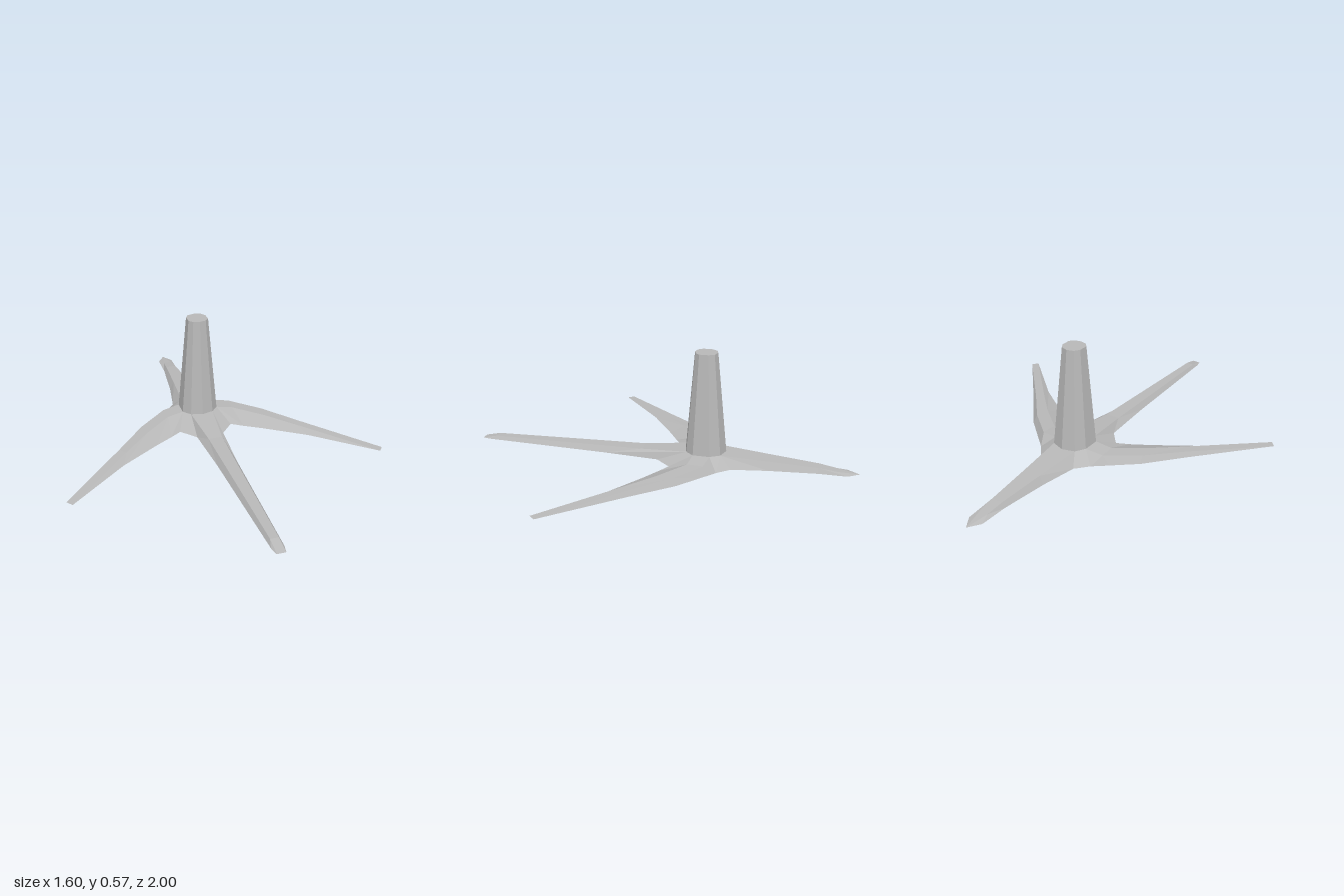
import * as THREE from 'three';

const V = (x, y, z) => new THREE.Vector3(x, y, z);
const UP = V(0, 1, 0), DOWN = V(0, -1, 0);
const HUB = V(0, 0, -0.23), HUB_Y = 0.055;

// Collects flat triangles, each turned to face along a given direction.
class Facets {
  constructor() { this.points = []; }
  tri(a, b, c, dir) {
    const n = b.clone().sub(a).cross(c.clone().sub(a));
    if (n.length() < 1e-8) return;
    this.points.push(...(n.dot(dir) < 0 ? [a, c, b] : [a, b, c]));
  }
  quad(a, b, c, d, dir) { this.tri(a, b, c, dir); this.tri(a, c, d, dir); }
  fan(center, ring, dir) {
    ring.forEach((p, i) => this.tri(center, p, ring[(i + 1) % ring.length], dir));
  }
  mesh(name, material) {
    const g = new THREE.BufferGeometry().setFromPoints(this.points);
    g.computeVertexNormals();
    const m = new THREE.Mesh(g, material);
    m.name = name;
    return m;
  }
}

// A cross-section: ground edge, two ridge points, ground edge.
const section = (a, b, c, d, y) =>
  [V(a[0], 0, a[1]), V(b[0], y, b[1]), V(c[0], y, c[1]), V(d[0], 0, d[1])];
// A section of a leg lying along z.
const straight = (z, outer, ridge, y, ridgeZ = z) =>
  section([-outer, z], [-ridge, ridgeZ], [ridge, ridgeZ], [outer, z], y);

function addLeg(facets, sections) {
  for (let i = 0; i + 1 < sections.length; i++) {
    const s = sections[i], t = sections[i + 1];
    for (let k = 0; k < 3; k++) facets.quad(s[k], s[k + 1], t[k + 1], t[k], UP);
    facets.quad(s[0], s[3], t[3], t[0], DOWN);
  }
}

export function createModel() {
  const group = new THREE.Group();
  const grey = new THREE.MeshStandardMaterial({ color: 0xb8b8b8 });
  grey.name = 'grey';

  // Legs, each running outward from the hub
  const backLeg = [
    straight(-0.375, 0.10, 0.065, HUB_Y, -0.315),
    straight(-0.56, 0.068, 0.045, 0.04),
    straight(-0.8, 0.042, 0.028, 0.025),
    straight(-0.94, 0.04, 0.022, 0.012, -0.89),
    straight(-1, 0, 0, 0),
  ];
  const frontLeg = [
    straight(0.01, 0.07, 0.06, HUB_Y, -0.14),
    straight(0.3, 0.052, 0.036, 0.036, 0.1),
    straight(0.96, 0.03, 0.02, 0.018, 0.92),
    straight(1, 0.022, 0.02, 0),
  ];
  const leftLeg = [
    section([0.155, -0.31], [0.095, -0.265], [0.095, -0.18], [0.14, -0.07], HUB_Y),
    section([0.225, -0.25], [0.185, -0.25], [0.18, -0.17], [0.2, -0.03], 0.043),
    section([0.34, -0.15], [0.335, -0.125], [0.325, -0.05], [0.29, 0.025], 0.034),
    section([0.5, 0.04], [0.49, 0.05], [0.46, 0.085], [0.49, 0.16], 0.024),
    section([0.8, 0.38], [0.8, 0.38], [0.775, 0.41], [0.775, 0.41], 0),
  ];
  const rightLeg = leftLeg.map(s => s.map(p => V(-p.x, p.y, p.z)));

  const base = new Facets();
  [backLeg, frontLeg, leftLeg, rightLeg].forEach(leg => addLeg(base, leg));

  // Webs filling the corners between neighbouring legs
  const [b, f, l, r] = [backLeg[0], frontLeg[0], leftLeg[0], rightLeg[0]];
  base.quad(b[2], l[1], l[0], b[3], UP);
  base.quad(b[1], r[1], r[0], b[0], UP);
  base.quad(f[2], l[2], l[3], f[3], UP);
  base.quad(f[1], r[2], r[3], f[0], UP);
  // Underside of the hub
  base.fan(HUB, [b[0], b[3], l[0], l[3], f[3], f[0], r[3], r[0]], DOWN);
  group.add(base.mesh('leggedBase', grey));

  // Tapered ten-sided column
  const half = [[0, -0.335], [0.065, -0.315], [0.095, -0.265], [0.095, -0.18], [0.06, -0.14], [0, -0.125]];
  const outline = [...half, ...half.slice(1, 5).reverse().map(([x, z]) => [-x, z])];
  const lower = outline.map(([x, z]) => V(x, 0.052, z));
  const upper = outline.map(([x, z]) => V(x * 0.55, 0.57, HUB.z + 0.007 + (z - HUB.z) * 0.55));
  const column = new Facets();
  lower.forEach((p, i) => {
    const j = (i + 1) % lower.length;
    const out = p.clone().add(lower[j]).multiplyScalar(0.5).sub(HUB).setY(0);
    column.quad(p, lower[j], upper[j], upper[i], out);
  });
  column.fan(V(0, 0.57, -0.223), upper, UP);
  column.fan(V(0, 0.052, -0.23), lower, DOWN);
  group.add(column.mesh('column', grey));

  return group;
}
